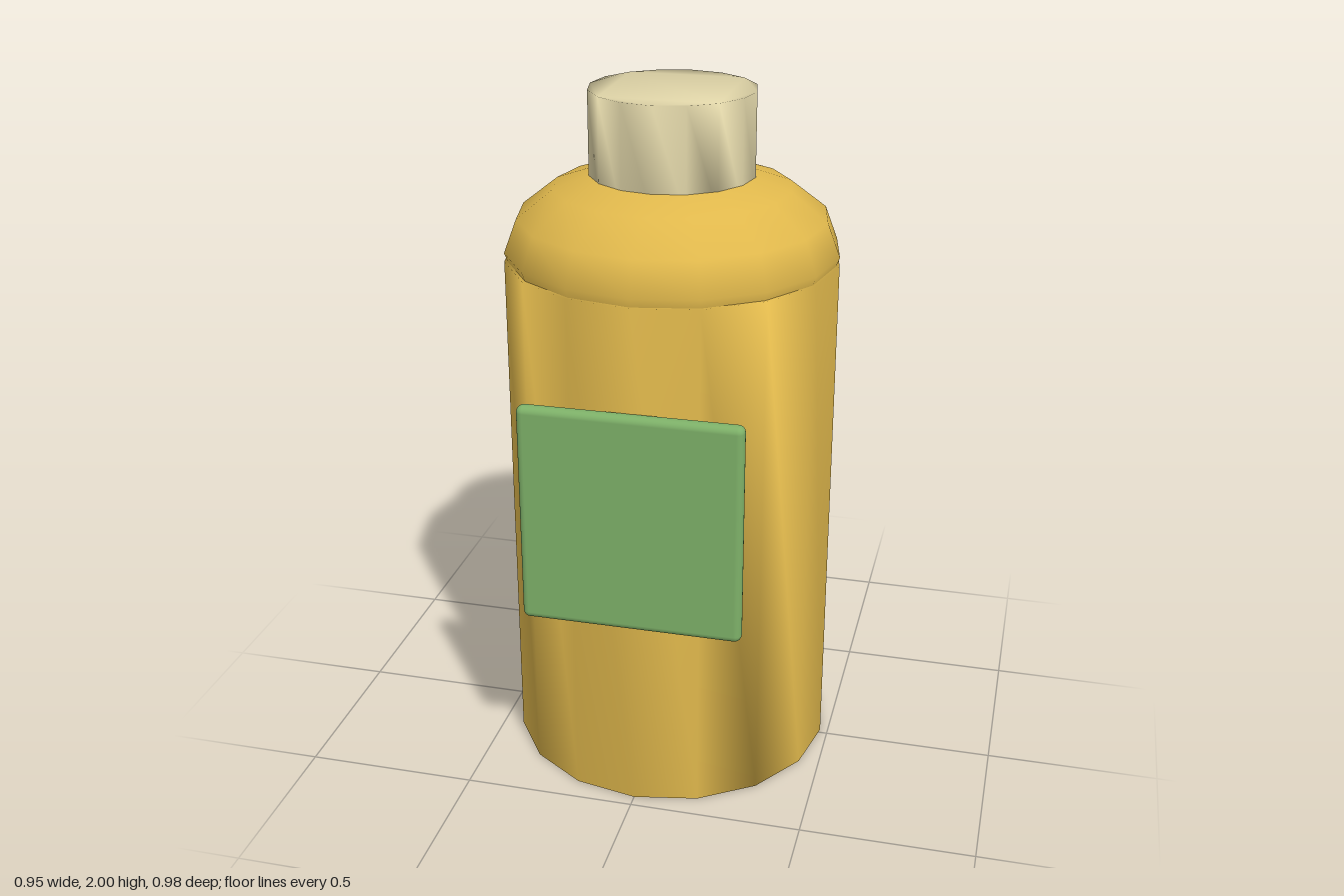
import * as THREE from 'three';
import { mergeVertices } from 'three/addons/utils/BufferGeometryUtils.js';
import { RoundedBoxGeometry } from 'three/addons/geometries/RoundedBoxGeometry.js';

const SIDES = 16;
const AXIS_Z = -0.015;

// Sixteen-sided prism with normals smoothed over its rims
function softPrism(radius, bottom, top) {
  const corners = [];
  for (let i = 0; i < SIDES; i++) {
    const a = (i / SIDES) * Math.PI * 2;
    corners.push(new THREE.Vector2(Math.cos(a) * radius, Math.sin(a) * radius));
  }
  let geometry = new THREE.ExtrudeGeometry(new THREE.Shape(corners), {
    depth: top - bottom, bevelEnabled: false, steps: 1,
  });
  geometry.deleteAttribute('normal');
  geometry.deleteAttribute('uv');
  geometry = mergeVertices(geometry, 1e-4);
  geometry.rotateX(-Math.PI / 2);
  geometry.translate(0, bottom, AXIS_Z);
  geometry.computeVertexNormals();
  return geometry;
}

function material(name, color) {
  const m = new THREE.MeshStandardMaterial({ color });
  m.name = name;
  return m;
}

export function createModel() {
  const group = new THREE.Group();
  group.name = 'bottle';
  const amber = material('amber', 0xe0b84c);
  const cream = material('cream', 0xe0d5a8);
  const green = material('green', 0x7db068);

  const add = (name, geometry, mat) => {
    const mesh = new THREE.Mesh(geometry, mat);
    mesh.name = name;
    group.add(mesh);
    return mesh;
  };

  // Body and cap
  add('body', softPrism(0.477, 0, 1.525), amber);
  add('cap', softPrism(0.235, 1.7, 2), cream);

  // Shoulder: flattened sphere sunk into the top of the body
  const shoulder = new THREE.SphereGeometry(0.477, SIDES, 8);
  shoulder.scale(1, 0.25 / 0.477, 1);
  shoulder.translate(0, 1.55, AXIS_Z);
  add('shoulder', shoulder, amber);

  // Label plate on the front
  const label = new RoundedBoxGeometry(0.63, 0.648, 0.045, 3, 0.02);
  label.translate(0, 0.905, 0.4685);
  add('label', label, green);

  return group;
}
